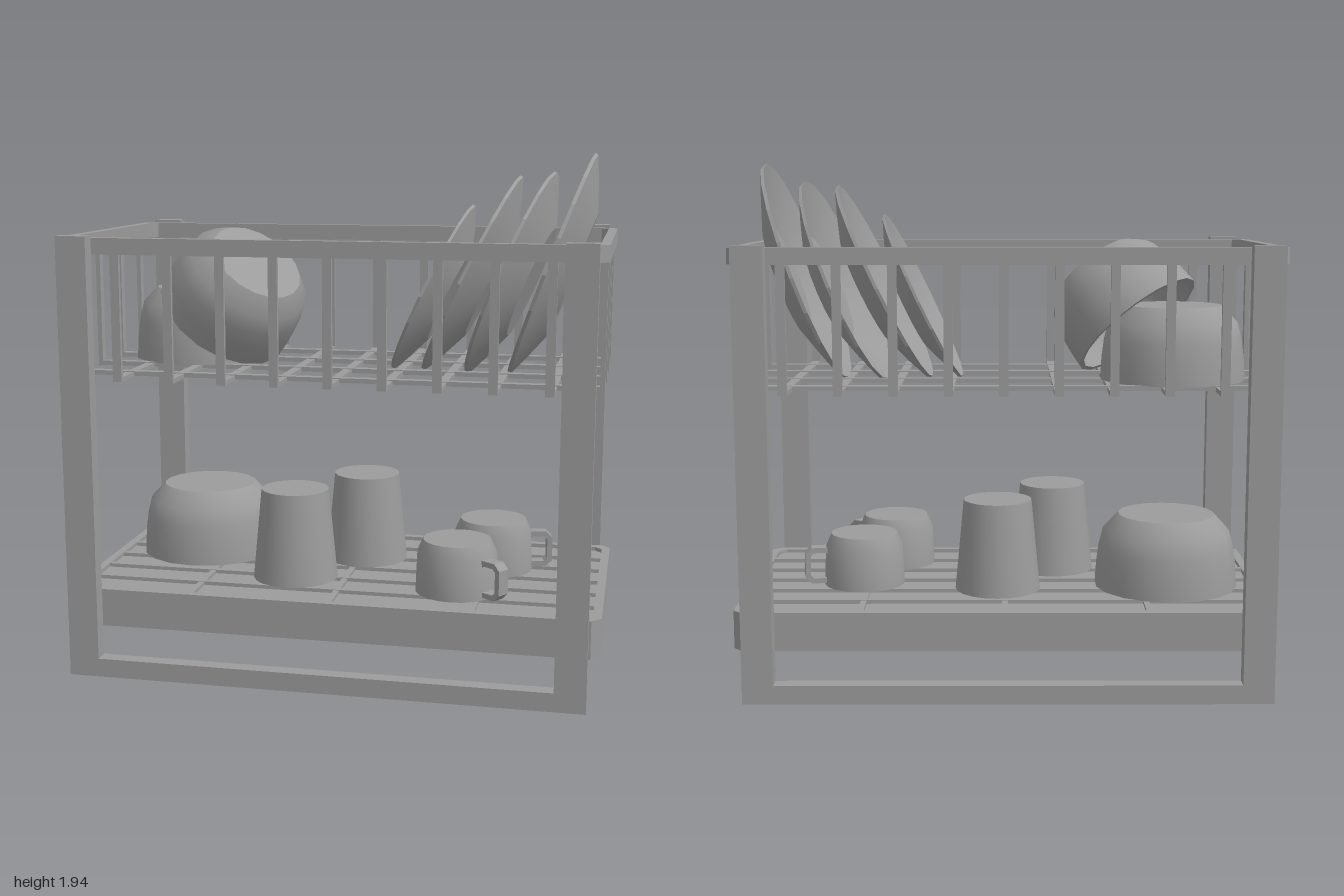
import * as THREE from 'three';
import { toCreasedNormals } from 'three/addons/utils/BufferGeometryUtils.js';

const material = new THREE.MeshStandardMaterial({ color: 0x9c9c9c });

function add(parent, name, geometry, x = 0, y = 0, z = 0) {
  const mesh = new THREE.Mesh(geometry, material);
  mesh.name = name;
  mesh.position.set(x, y, z);
  parent.add(mesh);
  return mesh;
}

// Box given by its lower and upper limits on each axis
function box(parent, name, [x0, x1], [y0, y1], [z0, z1]) {
  return add(parent, name, new THREE.BoxGeometry(x1 - x0, y1 - y0, z1 - z0),
    (x0 + x1) / 2, (y0 + y1) / 2, (z0 + z1) / 2);
}

// Rectangle with cut corners
function cutRect(Type, hx, hy, c) {
  return new Type([
    [hx - c, -hy], [hx, c - hy], [hx, hy - c], [hx - c, hy],
    [c - hx, hy], [-hx, hy - c], [-hx, c - hy], [c - hx, -hy],
  ].map(([x, y]) => new THREE.Vector2(x, y)));
}

// Horizontal slab or ring with cut corners, standing on y = 0
function slab(hx, hz, height, cut, wall = 0) {
  const shape = cutRect(THREE.Shape, hx, hz, cut);
  if (wall) shape.holes.push(cutRect(THREE.Path, hx - wall, hz - wall, cut * 0.8));
  return new THREE.ExtrudeGeometry(shape, { depth: height, bevelEnabled: false }).rotateX(-Math.PI / 2);
}

function lathe(points, sides, crease) {
  const geometry = new THREE.LatheGeometry(points.map(([r, y]) => new THREE.Vector2(r, y)), sides);
  return toCreasedNormals(geometry, crease);
}

// Dishes modelled upside down, open at the bottom
const bowlGeometry = lathe([
  [0.274, 0], [0.269, 0.08], [0.26, 0.15], [0.243, 0.218], [0.185, 0.28], [0, 0.28],
  [0, 0.262], [0.17, 0.262], [0.226, 0.205], [0.245, 0.145], [0.256, 0], [0.274, 0],
], 18, 0.65);
const cupGeometry = lathe([
  [0.163, 0], [0.13, 0.35], [0, 0.35], [0, 0.33], [0.115, 0.33], [0.15, 0], [0.163, 0],
], 20, 0.6);
const mugGeometry = lathe([
  [0.156, 0], [0.15, 0.15], [0.128, 0.2], [0, 0.2],
  [0, 0.185], [0.117, 0.185], [0.136, 0.145], [0.142, 0], [0.156, 0],
], 20, 0.6);

// Plate with a flat well on top and a flat foot below
function plateGeometry(R) {
  return lathe([
    [0, -0.2], [0.54, -0.2], [0.8, -0.1], [1, -0.015], [1, 0.015],
    [0.8, -0.065], [0.52, -0.165], [0, -0.165],
  ].map(([r, y]) => [r * R, y * R]), 20, 0.25);
}

function mug(parent, x, y, z, turn) {
  const group = new THREE.Group();
  group.name = 'mug';
  group.position.set(x, y, z);
  group.rotation.y = turn;
  add(group, 'mugBody', mugGeometry);
  const shape = cutRect(THREE.Shape, 0.055, 0.07, 0.024);
  shape.holes.push(cutRect(THREE.Path, 0.035, 0.05, 0.012));
  const handle = new THREE.ExtrudeGeometry(shape, { depth: 0.05, bevelEnabled: false });
  add(group, 'mugHandle', handle.translate(0, 0, -0.025), 0.176, 0.08, 0);
  parent.add(group);
}

export function createModel() {
  const model = new THREE.Group();
  model.name = 'dishRack';

  // Front and back frames
  for (const [side, z] of [['front', 0.536], ['back', -0.536]]) {
    const depth = [z - 0.028, z + 0.028];
    box(model, side + 'RightPost', [-0.97, -0.856], [0, 1.65], depth);
    box(model, side + 'LeftPost', [0.842, 0.956], [0, 1.65], depth);
    box(model, side + 'BottomRail', [-0.856, 0.842], [0, 0.07], depth);
  }

  // Drip tray with a raised rim and shallow ribs
  const tray = new THREE.Group();
  tray.name = 'dripTray';
  tray.position.x = 0.005;
  model.add(tray);
  add(tray, 'trayBase', slab(0.99, 0.49, 0.128, 0.035), 0, 0.177, 0);
  add(tray, 'trayRim', slab(0.993, 0.492, 0.143, 0.035, 0.032), 0, 0.177, 0);
  for (let i = -2; i <= 2; i++) {
    box(tray, 'trayLongRib', [-0.965, 0.965], [0.3, 0.319], [i * 0.154 - 0.011, i * 0.154 + 0.011]);
  }
  for (const x of [-0.53, 0, 0.53]) {
    box(tray, 'trayCrossRib', [x - 0.011, x + 0.011], [0.3, 0.317], [-0.465, 0.465]);
  }

  // Wire basket: a rim with U-shaped wires running both ways
  const basket = new THREE.Group();
  basket.name = 'basket';
  basket.position.x = -0.006;
  model.add(basket);
  add(basket, 'basketRim', slab(0.993, 0.492, 0.06, 0.035, 0.034), 0, 1.58, 0);
  const t = 0.017, w = 0.0165, low = 1.114;
  for (let i = -4; i <= 4; i++) {
    const x = i * 0.197 + 0.015, span = [x - w, x + w];
    box(basket, 'crossWire', span, [low, low + t], [-0.485, 0.485]);
    for (const s of [-1, 1]) {
      box(basket, 'wallWire', span, [low, 1.6], [s * 0.477 - t / 2, s * 0.477 + t / 2]);
    }
  }
  for (const z of [-0.345, -0.118, 0.11, 0.337]) {
    const span = [z - w, z + w];
    box(basket, 'longWire', [-0.985, 0.985], [low + 0.003, low + t + 0.003], span);
    for (const s of [-1, 1]) {
      box(basket, 'endWire', [s * 0.977 - t / 2, s * 0.977 + t / 2], [low, 1.6], span);
    }
  }

  // Plates leaning in the basket: bottom and top rim points as seen from the front, and a slight turn
  for (const [x0, y0, x1, y1, turn] of [
    [0.172, 1.128, 0.465, 1.745, 0], [0.29, 1.128, 0.64, 1.853, 0],
    [0.46, 1.122, 0.766, 1.868, -0.06], [0.615, 1.125, 0.912, 1.935, 0],
  ]) {
    const R = Math.hypot(x1 - x0, y1 - y0) / 2 + 0.003;
    const plate = add(model, 'plate', plateGeometry(R), (x0 + x1) / 2, (y0 + y1) / 2, 0);
    plate.rotation.set(0, turn, Math.atan2(y1 - y0, x1 - x0), 'YXZ');
  }

  // Bowls: one on the tray, one in the basket, one leaning on it
  add(model, 'trayBowl', bowlGeometry, -0.617, 0.328, -0.115);
  add(model, 'basketBowl', bowlGeometry, -0.63, 1.132, -0.115);
  const leaning = add(model, 'leaningBowl', bowlGeometry, -0.508, 1.325, 0);
  leaning.quaternion.setFromUnitVectors(
    new THREE.Vector3(0, 1, 0), new THREE.Vector3(0.57, 0.73, 0.37).normalize());

  // Cups and mugs upside down on the tray
  add(model, 'cup', cupGeometry, -0.187, 0.32, 0.175);
  add(model, 'cup', cupGeometry, 0.033, 0.32, -0.143);
  mug(model, 0.452, 0.325, 0.245, -0.62);
  mug(model, 0.552, 0.325, -0.08, 0.2);

  return model;
}
